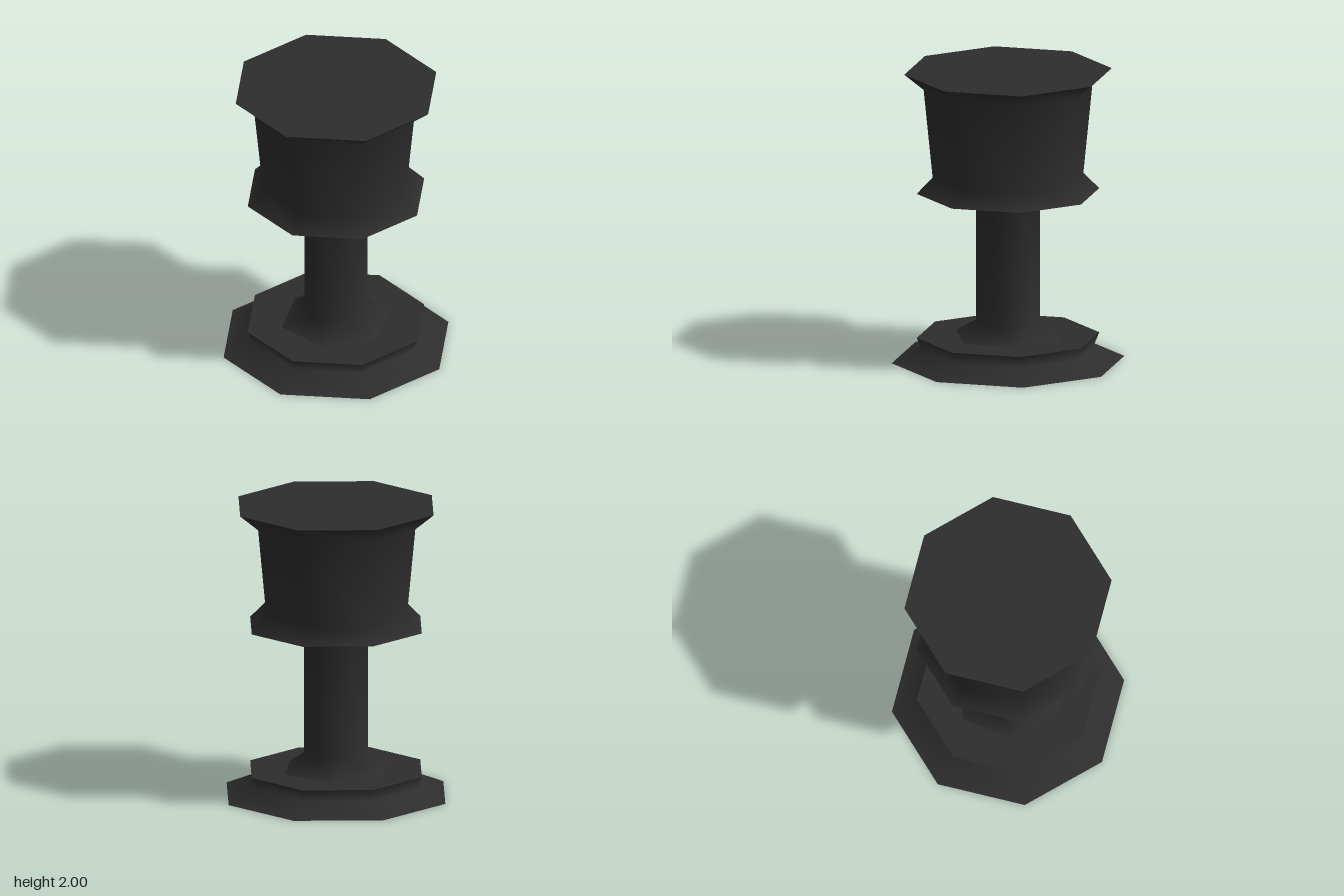
import * as THREE from 'three';

// Smooth-sided prism through rings of [radius, y, twist in sides], with optional flat caps
function ringSolid(sides, rings, capped) {
  const pos = [], idx = [];
  const addRing = ([r, y, twist = 0]) => {
    const start = pos.length / 3;
    for (let i = 0; i < sides; i++) {
      const a = ((i + twist) / sides) * Math.PI * 2;
      pos.push(r * Math.cos(a), y, -r * Math.sin(a));
    }
    return start;
  };
  const starts = rings.map(addRing);
  for (let k = 0; k < rings.length - 1; k++) {
    const a = starts[k], b = starts[k + 1];
    for (let i = 0; i < sides; i++) {
      const j = (i + 1) % sides;
      idx.push(a + i, a + j, b + i, a + j, b + j, b + i);
    }
  }
  if (capped) {
    const bottom = addRing(rings[0]);
    const top = addRing(rings[rings.length - 1]);
    for (let i = 1; i < sides - 1; i++) {
      idx.push(bottom, bottom + i + 1, bottom + i);
      idx.push(top, top + i, top + i + 1);
    }
  }
  const geo = new THREE.BufferGeometry();
  geo.setAttribute('position', new THREE.Float32BufferAttribute(pos, 3));
  geo.setIndex(idx);
  geo.computeVertexNormals();
  return geo;
}

export function createModel() {
  const group = new THREE.Group();
  group.name = 'pedestal';
  const charcoal = new THREE.MeshStandardMaterial({ color: 0x2d2d2d });
  charcoal.name = 'charcoal';

  const add = (name, geo) => {
    const mesh = new THREE.Mesh(geo, charcoal);
    mesh.name = name;
    group.add(mesh);
  };

  // Octagonal foot: sloping skirt, then an undercut lip
  add('foot', ringSolid(8, [[0.79, 0], [0.585, 0.085], [0.62, 0.17]], true));

  // Hexagonal stem whose flared ends are turned half a side
  add('stem', ringSolid(6, [
    [0.38, 0.17, 0], [0.218, 0.28, 0.5], [0.218, 1.06, 0.5], [0.38, 1.17, 1],
  ], false));

  // Octagonal head: lower lip, tapered body and wide flat top
  add('head', ringSolid(8, [
    [0.62, 1.17], [0.512, 1.28], [0.573, 1.89], [0.705, 2],
  ], true));

  return group;
}
